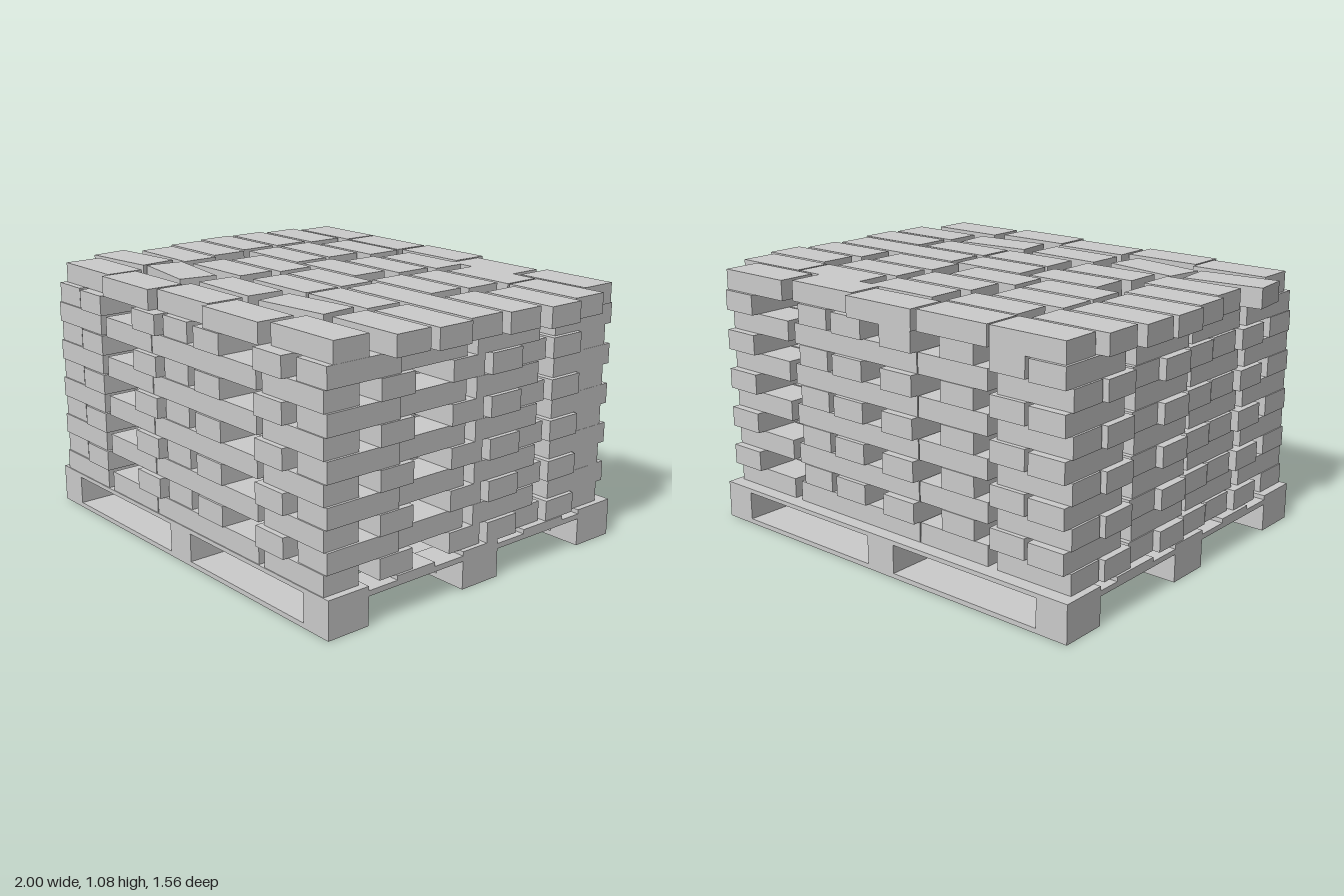
import * as THREE from 'three';

const H = 0.0843, LONG = 0.34, SHORT = 0.162, DECK = 0.157;
const material = new THREE.MeshStandardMaterial({ color: 0xcccccc, flatShading: true });

function box(parent, name, [x0, x1], [y0, y1], [z0, z1]) {
  const mesh = new THREE.Mesh(new THREE.BoxGeometry(x1 - x0, y1 - y0, z1 - z0), material);
  mesh.position.set((x0 + x1) / 2, (y0 + y1) / 2, (z0 + z1) / 2);
  mesh.name = name;
  parent.add(mesh);
}

// Wooden pallet: skids, blocks, cross boards and deck boards
function createPallet() {
  const pallet = new THREE.Group();
  pallet.name = 'pallet';
  const blockX = [[-0.96, -0.82], [-0.11, 0.03], [0.74, 0.88]];
  const skidZ = [[0.55, 0.74], [-0.12, 0.07], [-0.795, -0.6]];
  const deckZ = [...skidZ, [0.22, 0.41], [-0.5, -0.27]];
  for (const z of skidZ) {
    box(pallet, 'skid', [-0.96, 0.88], [0, 0.02], z);
    for (const x of blockX) box(pallet, 'block', x, [0.02, 0.117], z);
  }
  for (const x of blockX) box(pallet, 'crossBoard', x, [0.117, 0.139], [-0.795, 0.74]);
  for (const z of deckZ) box(pallet, 'deckBoard', [-0.96, 0.88], [0.139, DECK], z);
  return pallet;
}

const brickGeometry = new THREE.BoxGeometry(LONG, H, SHORT);

function addBrick(layer, x, z, turn = 0) {
  const brick = new THREE.Mesh(brickGeometry, material);
  brick.name = 'brick';
  brick.position.set(x, 0, z);
  brick.rotation.y = turn;
  layer.add(brick);
}

// Bricks lying along x; one place on the left side is left empty
function lengthwiseLayer(layer) {
  const columns = [-0.755, -0.375, -0.03, 0.305, 0.68];
  const rows = [0.655, 0.408, 0.225, 0.045, -0.14, -0.305, -0.485, -0.655];
  const shift = [0, 0.02, 0, 0.01, 0.03, 0, 0.025, 0.005];
  rows.forEach((z, r) => columns.forEach((x, c) => {
    if (c === 4 && r === 2) return;
    const out = c === 0 ? -shift[r] : c === 4 ? shift[r] : 0;
    addBrick(layer, x + out, z);
  }));
}

// Bricks lying along z, in four rows with some places left empty
function crosswiseLayer(layer) {
  const rows = [
    [0.575, [-0.84, -0.65, -0.225, -0.045, 0.18, 0.57, 0.78]],
    [0.2, [-0.83, -0.65, -0.42, -0.22, -0.03, 0.18, 0.39, 0.57, 0.765]],
    [-0.18, [-0.84, -0.64, -0.41, -0.22, 0.0, 0.17, 0.39, 0.58, 0.78]],
    [-0.585, [-0.84, -0.65, -0.4, -0.12, 0.16, 0.365, 0.775]],
  ];
  for (const [z, columns] of rows)
    columns.forEach((x, i) => addBrick(layer, x, z + (i % 3 - 1) * 0.015, Math.PI / 2));
}

// Loose top layer: z of the row, x of its bricks, then optional turns and z shifts
function topLayer(layer) {
  const rows = [
    [-0.675, [-0.74, -0.39, -0.035, 0.32, 0.69], [], [0, 0, -0.015, 0.03, 0]],
    [-0.5, [-0.79, -0.38, 0.035, 0.44, 0.79]],
    [-0.32, [-0.82, -0.45, 0, 0.4, 0.83]],
    [-0.14, [-0.83, -0.45, -0.07, 0.375, 0.79]],
    [0.04, [-0.805, -0.335, 0.055, 0.43, 0.765]],
    [0.22, [-0.77, -0.37, 0.055, 0.41, 0.79]],
    [0.42, [-0.825, -0.455, -0.04, 0.37, 0.765], [0.11, -0.17, -0.03, 0.11, 0], [0, 0, 0, 0, -0.02]],
    [0.62, [-0.74, -0.39, -0.035, 0.32, 0.69], [], [0, 0.035, 0, 0.035, 0]],
  ];
  for (const [z, columns, turns = [], shifts = []] of rows)
    columns.forEach((x, i) => addBrick(layer, x, z + (shifts[i] || 0), turns[i] || 0));
}

export function createModel() {
  const model = new THREE.Group();
  model.name = 'brickPallet';
  model.add(createPallet());
  // Eleven layers in alternating directions
  for (let i = 0; i < 11; i++) {
    const layer = new THREE.Group();
    layer.name = i === 10 ? 'topLayer' : 'brickLayer';
    layer.position.y = DECK + H * (i + 0.5);
    if (i === 10) topLayer(layer);
    else if (i % 2) crosswiseLayer(layer);
    else lengthwiseLayer(layer);
    model.add(layer);
  }
  return model;
}
